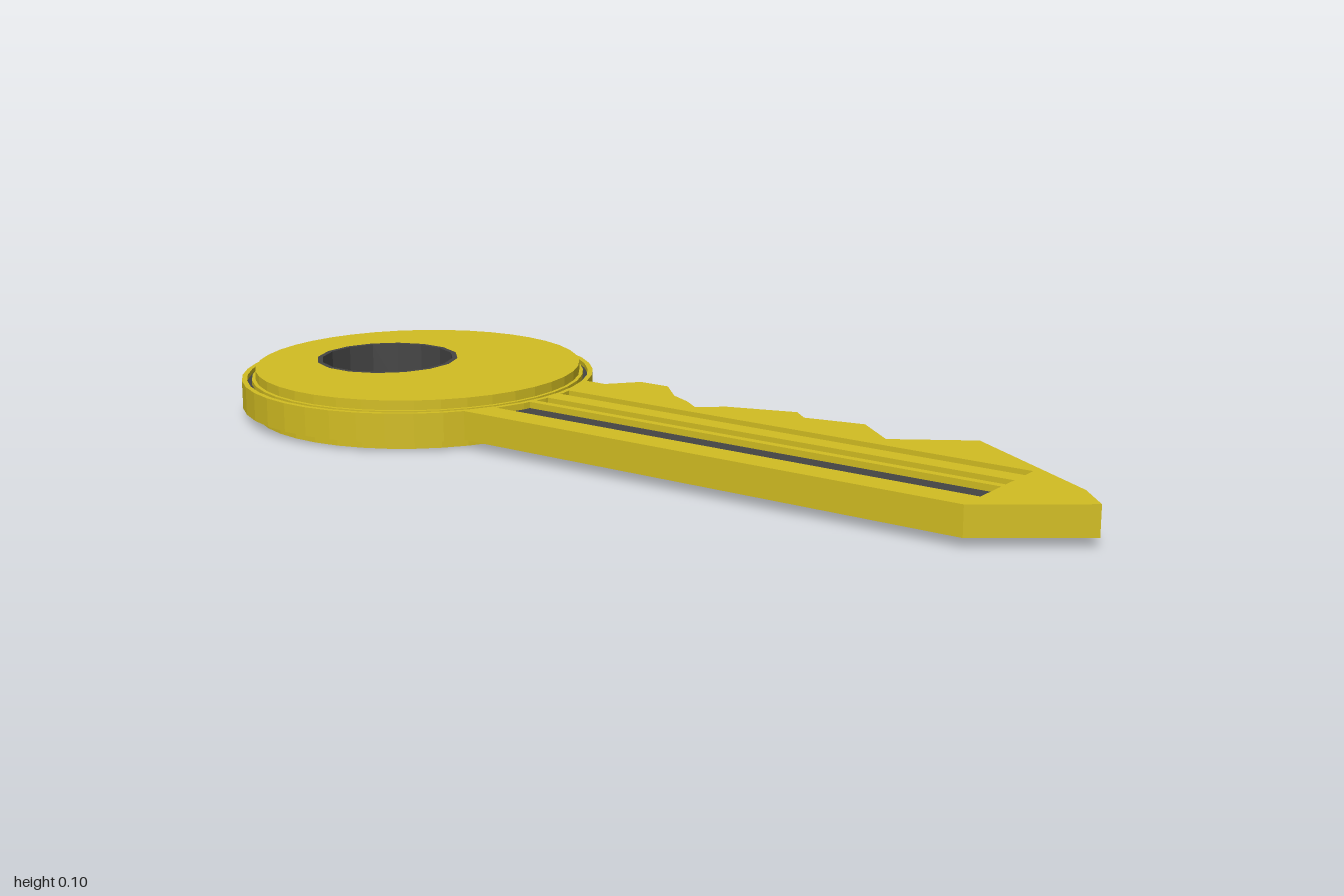
import * as THREE from 'three';

const brass = new THREE.MeshStandardMaterial({ color: 0xd2bd22 });
const dark = new THREE.MeshStandardMaterial({ color: 0x444444 });

const HEAD_Z = -0.625; // centre of the round head
const HOLE_Z = -0.715; // centre of the off-centre ring hole

// Regular polygon points in plan (x, z)
function circle(radius, z, sides) {
  return Array.from({ length: sides }, (_, i) => {
    const a = ((i + 0.5) / sides) * Math.PI * 2;
    return new THREE.Vector2(Math.cos(a) * radius, z + Math.sin(a) * radius);
  });
}

// Flat slab from a plan outline with holes, between two heights
function slab(name, outline, holes, bottom, top, material) {
  const shape = new THREE.Shape(outline);
  shape.holes = holes.map((h) => new THREE.Path(h));
  const geometry = new THREE.ExtrudeGeometry(shape, { depth: top - bottom, bevelEnabled: false });
  geometry.rotateX(Math.PI / 2).translate(0, top, 0);
  const mesh = new THREE.Mesh(geometry, material);
  mesh.name = name;
  return mesh;
}

// z on the front edge of a circle around the head centre
const arcZ = (x, radius) => HEAD_Z + Math.sqrt(radius * radius - x * x);

function createHead() {
  const head = new THREE.Group();
  head.name = 'head';
  const disc = (r) => circle(r, HEAD_Z, 40);
  const hole = (r) => circle(r, HOLE_Z, 16);
  head.add(
    slab('facePlate', disc(0.347), [hole(0.153)], 0, 0.1, brass),
    slab('innerCollar', disc(0.355), [disc(0.34)], 0.02, 0.08, brass),
    slab('rimGroove', disc(0.368), [disc(0.35)], 0.03, 0.07, dark),
    slab('outerRim', disc(0.376), [disc(0.365)], 0.02, 0.08, brass),
    slab('holeLining', hole(0.153), [hole(0.142)], 0, 0.1, dark),
  );
  return head;
}

function createBlade() {
  const blade = new THREE.Group();
  blade.name = 'blade';

  // Toothed edge, then the tip and the straight back
  const edge = [
    [0.145, -0.23], [0.205, -0.18], [0.205, -0.11], [0.145, -0.05], [0.12, 0],
    [0.09, 0.04], [0.13, 0.09], [0.175, 0.23], [0.145, 0.265], [0.17, 0.39],
    [0.095, 0.48], [0.19, 0.63], [-0.005, 0.94], [-0.07, 1], [-0.21, 0.81],
  ].map(([x, z]) => new THREE.Vector2(x, z));

  // Root follows the curve of the head
  for (let i = 0; i <= 12; i++) {
    const x = -0.21 + (0.355 * i) / 12;
    edge.push(new THREE.Vector2(x, arcZ(x, 0.368)));
  }

  // Long grooves on both faces share one dark floor strip each
  const grooves = [[-0.15, -0.072], [-0.055, -0.022], [0.02, 0.053]].map(([a, b]) => [
    new THREE.Vector2(a, arcZ(a, 0.374)),
    new THREE.Vector2(b, arcZ(b, 0.374)),
    new THREE.Vector2(b, 0.81),
    new THREE.Vector2(a, 0.81),
  ]);
  blade.add(slab('toothedShaft', edge, grooves, 0.02, 0.08, brass));
  grooves.forEach((g, i) => blade.add(slab(`grooveFloor${i + 1}`, g, [], 0.033, 0.067, dark)));
  return blade;
}

export function createModel() {
  const model = new THREE.Group();
  model.name = 'key';
  model.add(createHead(), createBlade());
  return model;
}
